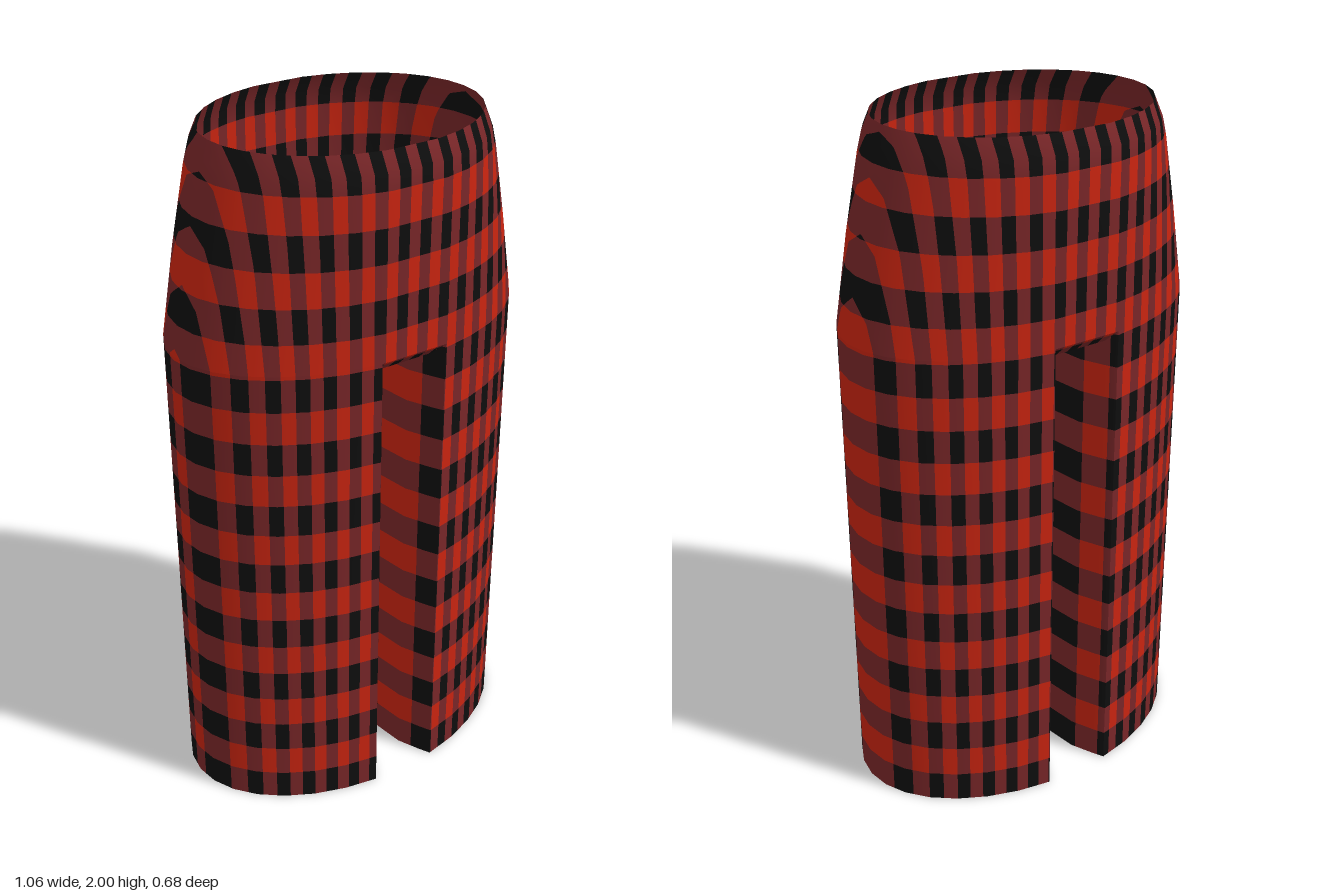
import * as THREE from 'three';
import { toCreasedNormals } from 'three/addons/utils/BufferGeometryUtils.js';

const CROTCH_Y = 1.44;
const STEP = Math.PI / 16; // 32-sided rings
const COLUMN = { axis: 0, start: -0.0265, size: 0.0333 };
const ROW = { axis: 1, start: -0.003, size: 0.0955 };

// Inner leg seam, front to back: x, z and height where it meets the crotch
const halfSeam = [[0.103, 0.34, 1.44], [0.085, 0.305, 1.405], [0.055, 0.24, 1.37], [0.026, 0.05, 1.365]];
const seam = [...halfSeam, ...halfSeam.map(([x, z, y]) => [x, -z, y]).reverse()];

// Point on a ring, slightly flattened at front and back
function ringPoint(i, rx, rz) {
  const a = i * STEP, cap = Math.sin(7 * STEP);
  return [rx * Math.cos(a), rz * THREE.MathUtils.clamp(Math.sin(a), -cap, cap)];
}

// Surface through rows of points
function loft(rows, flip = false) {
  const pos = [];
  for (let i = 0; i < rows.length - 1; i++) {
    for (let j = 0; j < rows[i].length - 1; j++) {
      const a = rows[i][j], b = rows[i][j + 1], c = rows[i + 1][j + 1], d = rows[i + 1][j];
      const tris = flip ? [a, b, c, a, c, d] : [a, d, c, a, c, b];
      tris.forEach((p) => pos.push(...p));
    }
  }
  const g = new THREE.BufferGeometry();
  g.setAttribute('position', new THREE.Float32BufferAttribute(pos, 3));
  return toCreasedNormals(g, 0.6);
}

// Keep the part of a polygon on one side of an axis plane
function clip(poly, axis, limit, sign) {
  const out = [];
  poly.forEach((p, i) => {
    const q = poly[(i + 1) % poly.length];
    const dp = sign * (p[axis] - limit), dq = sign * (q[axis] - limit);
    if (dp >= 0) out.push(p);
    if (dp * dq < 0) out.push(p.map((v, k) => v + (q[k] - v) * dp / (dp - dq)));
  });
  return out;
}

// Cut a polygon into the bands of a stripe pattern
function slice(poly, { axis, start, size }) {
  const cells = poly.map((p) => Math.floor((p[axis] - start) / size));
  const parts = [];
  for (let n = Math.min(...cells); n <= Math.max(...cells); n++) {
    const low = start + n * size;
    const part = clip(clip(poly, axis, low, 1), axis, low + size, -1);
    if (part.length > 2) parts.push({ part, odd: Math.abs(n) % 2 });
  }
  return parts;
}

// Split a surface into woven checks: 0 light, 1 middle, 2 dark
function weave(name, source, materials) {
  const p = source.attributes.position, n = source.attributes.normal;
  const buckets = [[], [], []];
  for (let t = 0; t < p.count; t += 3) {
    const tri = [t, t + 1, t + 2].map((i) => [p.getX(i), p.getY(i), p.getZ(i), n.getX(i), n.getY(i), n.getZ(i)]);
    for (const column of slice(tri, COLUMN)) {
      for (const { part, odd } of slice(column.part, ROW)) {
        const bucket = buckets[column.odd + 1 - odd];
        for (let k = 1; k < part.length - 1; k++) bucket.push(part[0], part[k], part[k + 1]);
      }
    }
  }
  const g = new THREE.BufferGeometry();
  const all = buckets.flat();
  g.setAttribute('position', new THREE.Float32BufferAttribute(all.flatMap((v) => v.slice(0, 3)), 3));
  g.setAttribute('normal', new THREE.Float32BufferAttribute(all.flatMap((v) => v.slice(3)), 3));
  let first = 0;
  buckets.forEach((b, i) => {
    g.addGroup(first, b.length, i);
    first += b.length;
  });
  const mesh = new THREE.Mesh(g, materials);
  mesh.name = name;
  return mesh;
}

export function createModel() {
  const model = new THREE.Group();
  model.name = 'checkedTrousers';
  const materials = [['brightRed', 0xc82410], ['maroon', 0x782628], ['black', 0x0e0e0e]].map(([name, color]) => {
    const m = new THREE.MeshStandardMaterial({ color, side: THREE.DoubleSide });
    m.name = name;
    return m;
  });

  // Hips, tapering up to the open waist
  const levels = [[CROTCH_Y, 0.53, 0.347], [1.69, 0.482, 0.347], [1.9, 0.433, 0.349], [1.95, 0.418, 0.346], [2, 0.4, 0.318]];
  const hips = levels.map(([y, rx, rz]) => Array.from({ length: 33 }, (_, i) => {
    const [x, z] = ringPoint(i, rx, rz);
    return [x, y, z];
  }));
  model.add(weave('hips', loft(hips), materials));

  // Straight open legs, mirrored
  for (const side of [1, -1]) {
    const outline = [];
    for (let i = -7; i <= 7; i++) outline.push([...ringPoint(i, 0.53, 0.347), CROTCH_Y]);
    outline.push(...seam.slice(1), outline[0]);
    const rows = [outline.map(([x, z]) => [side * x, 0, z]), outline.map(([x, z, y]) => [side * x, y, z])];
    model.add(weave(side > 0 ? 'leftLeg' : 'rightLeg', loft(rows, side < 0), materials));
  }

  // Crotch strip joining the legs
  const strip = seam.map(([x, z, y]) => [[x, y, z], [-x, y, z]]);
  model.add(weave('crotch', loft(strip, true), materials));
  return model;
}
